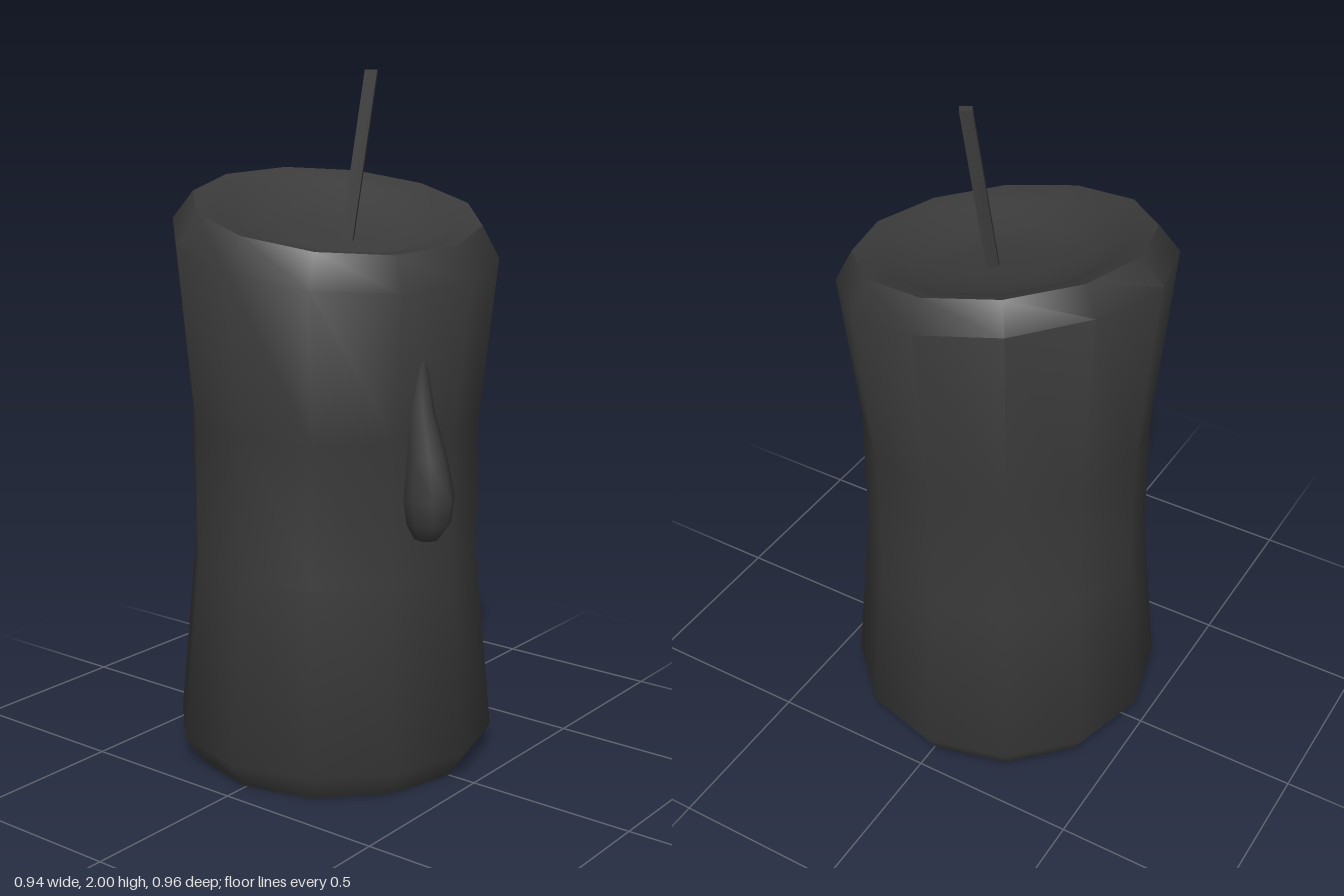
import * as THREE from 'three';
import { mergeVertices, toCreasedNormals } from 'three/addons/utils/BufferGeometryUtils.js';

const material = new THREE.MeshStandardMaterial({ color: 0x3a3a3a });

// Move every vertex of a geometry by a rule
function deform(geometry, rule) {
  const pos = geometry.attributes.position;
  const v = new THREE.Vector3();
  for (let i = 0; i < pos.count; i++) {
    v.fromBufferAttribute(pos, i);
    rule(v);
    pos.setXYZ(i, v.x, v.y, v.z);
  }
  return geometry;
}

// Lathe from [radius, height] pairs, welded so the seam shades smoothly
function lathe(profile, sides) {
  const g = new THREE.LatheGeometry(profile.map(([r, y]) => new THREE.Vector2(r, y)), sides);
  g.deleteAttribute('uv');
  g.deleteAttribute('normal');
  return g;
}

function addMesh(group, name, geometry) {
  const mesh = new THREE.Mesh(geometry, material);
  mesh.name = name;
  group.add(mesh);
}

export function createModel() {
  const group = new THREE.Group();
  group.name = 'candle';

  // Waisted wax body with a slanted top and a hollow melt pool
  const body = lathe([
    [0, 0], [0.42, 0], [0.47, 0.08], [0.42, 0.61], [0.42, 1.02],
    [0.47, 1.53], [0.415, 1.615], [0.335, 1.595], [0.25, 1.545], [0.12, 1.53], [0, 1.53],
  ], 12);
  deform(body, (v) => {
    if (v.y > 1.4) v.y += 0.1 * v.x - 0.18 * v.z;
    if (v.y < 1.62 && Math.hypot(v.x, v.z) > 0.417) v.z -= 0.008;
  });
  addMesh(group, 'waxBody', toCreasedNormals(mergeVertices(body), THREE.MathUtils.degToRad(50)));

  // Wax drip running down the front: [radius, height, centre x, centre z]
  const rings = [
    [0, 0.73, -0.115, 0.4], [0.035, 0.74, -0.115, 0.405], [0.063, 0.785, -0.115, 0.41],
    [0.075, 0.86, -0.115, 0.408], [0.058, 0.97, -0.117, 0.402], [0.038, 1.1, -0.122, 0.385],
    [0.02, 1.22, -0.128, 0.388], [0, 1.32, -0.132, 0.395],
  ];
  const drip = lathe(rings, 8);
  deform(drip, (v) => {
    const ring = rings.find((r) => Math.abs(r[1] - v.y) < 1e-4);
    v.x += ring[2];
    v.z += ring[3];
  });
  const smoothDrip = mergeVertices(drip);
  smoothDrip.computeVertexNormals();
  addMesh(group, 'waxDrip', smoothDrip);

  // Square wick, leaning forward and to the left
  const wick = new THREE.BoxGeometry(0.029, 0.5, 0.035);
  wick.rotateY(Math.PI / 6);
  wick.translate(0, 1.75, 0);
  deform(wick, (v) => {
    const t = (v.y - 1.5) / 0.5;
    v.x += 0.014 + 0.036 * t;
    v.z += 0.023 + 0.062 * t;
  });
  wick.computeVertexNormals();
  addMesh(group, 'wick', wick);

  return group;
}
